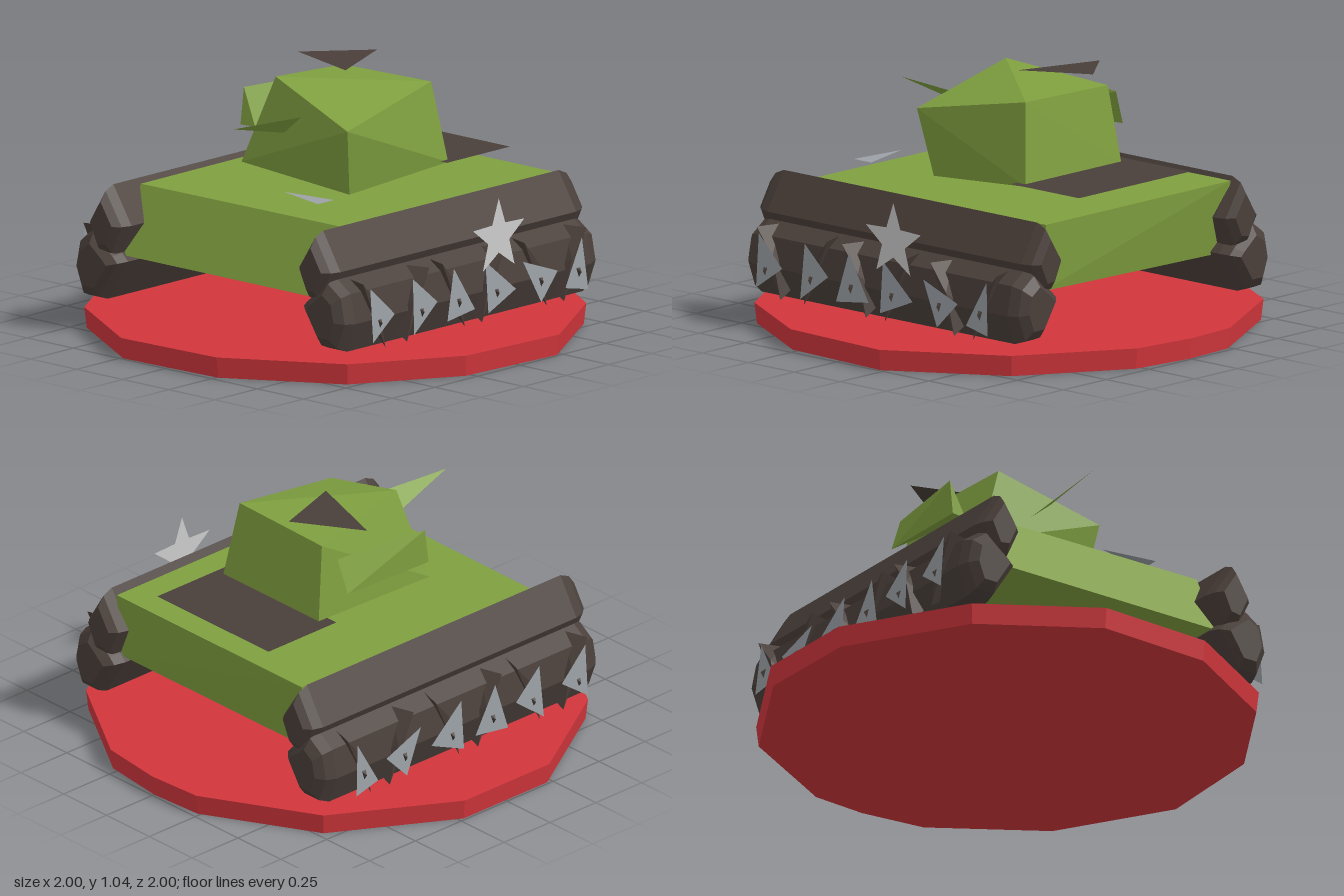
import * as THREE from 'three';
import { ConvexGeometry } from 'three/addons/geometries/ConvexGeometry.js';

const material = (name, color) =>
  new THREE.MeshStandardMaterial({ name, color, side: THREE.DoubleSide, flatShading: true });

const V = (x, y, z) => new THREE.Vector3(x, y, z);

export function createModel() {
  const model = new THREE.Group();
  model.name = 'toyTank';
  const green = material('olive green', 0x7f9f3f);
  const dark = material('dark brown', 0x4a3f3a);
  const red = material('red', 0xd1363c);
  const grey = material('grey', 0x9aa0a5);
  const pale = material('pale grey', 0xcccccc);

  const add = (name, geometry, mat) => {
    const mesh = new THREE.Mesh(geometry, mat);
    mesh.name = name;
    model.add(mesh);
    return mesh;
  };
  // Faceted solid around a few corner points
  const solid = (name, points, mat) =>
    add(name, new ConvexGeometry(points.map((p) => V(...p))), mat);
  // Thin flat plate, fanned from its first corner
  const plate = (name, points, mat) => {
    const corners = [];
    for (let i = 1; i < points.length - 1; i++) corners.push(...points[0], ...points[i], ...points[i + 1]);
    const g = new THREE.BufferGeometry();
    g.setAttribute('position', new THREE.Float32BufferAttribute(corners, 3));
    g.computeVertexNormals();
    return add(name, g, mat);
  };

  // Base disc, an uneven twelve-sided slab
  const rim = [[1, -0.23], [0.97, 0.28], [0.72, 0.71], [0.26, 0.98], [-0.24, 1], [-0.7, 0.72],
    [-1, 0.23], [-1, -0.23], [-0.71, -0.73], [-0.24, -0.985], [0, -1], [0.28, -0.965], [0.72, -0.69]];
  solid('baseDisc', rim.flatMap(([x, z]) => [[x, 0.085, z], [x * 0.99, 0, z * 0.99]]), red);

  // Hull with a sloping nose
  solid('hull', [
    [-0.55, 0.585, 0.55], [0.53, 0.59, 0.55], [-0.55, 0.59, -0.7], [0.53, 0.59, -0.7],
    [-0.55, 0.32, 0.68], [0.53, 0.32, 0.68], [-0.55, 0.285, -0.64], [0.53, 0.315, -0.68],
  ], green);

  // Lopsided turret
  solid('turret', [
    [-0.17, 1.02, 0.17], [0.28, 0.88, 0.235], [-0.25, 0.97, -0.31], [0.23, 0.98, -0.31],
    [-0.3, 0.66, 0.23], [0.24, 0.605, 0.18], [-0.28, 0.66, -0.355], [0.28, 0.65, -0.355],
  ], green);
  plate('gunBarrel', [[-0.06, 0.82, 0.24], [0.035, 0.9, 0.24], [-0.01, 0.905, 0.59]], green);
  solid('turretSidePanel', [
    [-0.38, 0.785, 0.15], [-0.38, 0.935, 0.13], [-0.31, 0.785, 0.14],
    [-0.37, 0.79, -0.28], [-0.32, 0.93, -0.29],
  ], green);
  plate('turretHatch', [[-0.11, 1.045, -0.36], [-0.36, 1.03, -0.165], [0, 1.033, -0.055]], dark);

  // Deck plates
  plate('engineCover', [[-0.335, 0.66, -0.31], [0.315, 0.66, -0.31], [0.315, 0.66, -0.68], [-0.335, 0.66, -0.68]], dark);
  plate('frontMarker', [[0.135, 0.65, 0.455], [0.365, 0.645, 0.5], [0.365, 0.645, 0.405]], grey);

  // Track cross-sections (x, y) and their end steps (z, scale)
  const upper = [[0.57, 0.605], [0.47, 0.45], [0.53, 0.32], [0.6, 0.31], [0.665, 0.45]];
  const lower = [[0.64, 0.425], [0.52, 0.33], [0.49, 0.3], [0.6, 0.13], [0.7, 0.13], [0.745, 0.25], [0.72, 0.37]];
  const ends = [[0.765, 0.6], [0.735, 0.87], [0.69, 1]];
  const trackPoints = (section, cx, cy, s) => section.flatMap(([x, y]) =>
    ends.flatMap(([z, k]) => [1, -1].map((e) =>
      [s * (cx + (x - cx) * k), cy + (y - cy) * k, e * z])));

  // Wheel triangles as (z, y) corners
  const wheels = [
    [[0.635, 0.39], [0.5, 0.265], [0.635, 0.17]],
    [[0.385, 0.385], [0.25, 0.27], [0.395, 0.16]],
    [[0.145, 0.385], [0.03, 0.2], [0.2, 0.18]],
    [[-0.04, 0.38], [-0.21, 0.24], [-0.04, 0.17]],
    [[-0.26, 0.34], [-0.455, 0.27], [-0.35, 0.16]],
    [[-0.605, 0.38], [-0.5, 0.19], [-0.625, 0.165]],
  ];

  for (const s of [1, -1]) {
    const side = s > 0 ? 'left' : 'right';
    solid(side + 'UpperTrack', trackPoints(upper, 0.57, 0.455, s), dark);
    solid(side + 'LowerTrack', trackPoints(lower, 0.62, 0.27, s), dark);
    wheels.forEach((corners, i) => {
      const z = corners.reduce((sum, c) => sum + c[0], 0) / 3;
      const t = i % 2 ? 1 : -1;
      // Jagged block behind each wheel
      solid(side + 'WheelBlock' + i, [
        [s * 0.66, 0.41, z - 0.04 * t], [s * 0.76, 0.41, z - 0.07 * t], [s * 0.765, 0.3, z + 0.02 * t],
        [s * 0.66, 0.2, z + 0.08 * t], [s * 0.76, 0.13, z + 0.06 * t],
      ], dark);
      plate(side + 'Wheel' + i, corners.map(([cz, cy], k) => [s * (0.775 + 0.008 * k), cy, cz]), grey);
      // Small hub spike
      solid(side + 'Hub' + i, [
        [s * 0.77, 0.27, z + 0.018], [s * 0.77, 0.27, z - 0.018], [s * 0.77, 0.2, z], [s * 0.8, 0.245, z],
      ], dark);
    });
  }

  // Five-pointed star on the left side only
  const star = new THREE.Shape(Array.from({ length: 10 }, (_, i) => {
    const a = Math.PI / 2 + (i * Math.PI) / 5;
    const r = i % 2 ? 0.065 : 0.158;
    return new THREE.Vector2(Math.cos(a) * r, Math.sin(a) * r);
  }));
  const starMesh = add('sideStar', new THREE.ShapeGeometry(star), pale);
  starMesh.rotation.y = Math.PI / 2;
  starMesh.position.set(0.785, 0.472, -0.107);

  return model;
}
